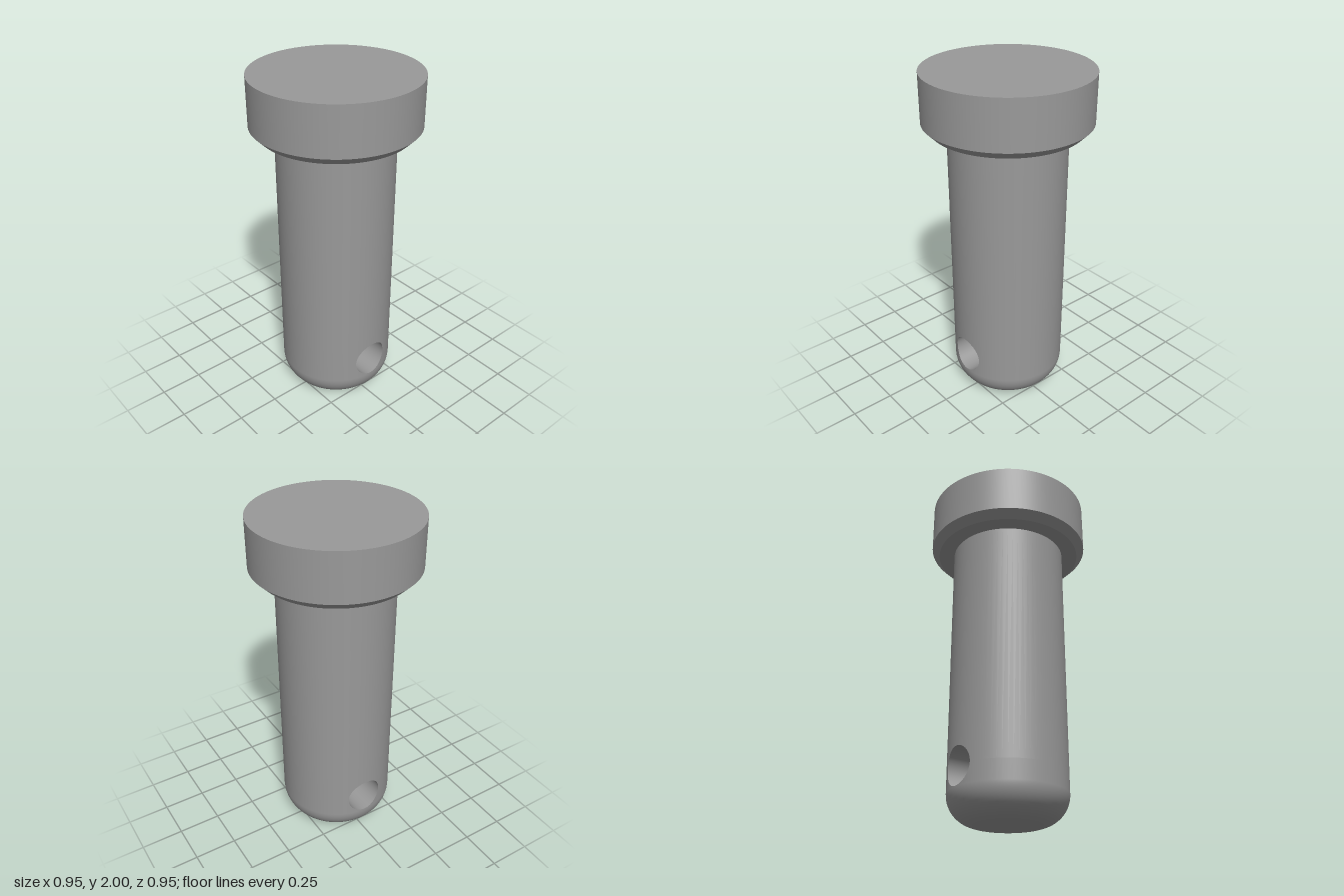
import * as THREE from 'three';

const R = 0.337;        // shaft radius
const FILLET = 0.165;   // rounded tip radius
const HOLE_R = 0.109;   // cross hole radius
const HOLE_Y = 0.277;   // cross hole height
const NECK_Y = 1.673;   // underside of the head
const HALF = 24;        // segments over half of the hole rim

// Smooth sheet: fn(i, j) returns [position, normal]
function sheet(nu, nv, fn) {
  const pos = [], nor = [], idx = [];
  for (let j = 0; j <= nv; j++) {
    for (let i = 0; i <= nu; i++) {
      const [p, n] = fn(i, j);
      pos.push(...p);
      nor.push(...n);
      if (i < nu && j < nv) {
        const a = j * (nu + 1) + i, d = a + nu + 1;
        idx.push(a, a + 1, d + 1, a, d + 1, d);
      }
    }
  }
  const g = new THREE.BufferGeometry();
  g.setAttribute('position', new THREE.Float32BufferAttribute(pos, 3));
  g.setAttribute('normal', new THREE.Float32BufferAttribute(nor, 3));
  g.setIndex(idx);
  return g;
}

// Angles round the shaft, lined up with the rim of the hole on both sides
function shaftAngles() {
  const edge = Math.asin(HOLE_R / R), gap = 28, list = [];
  for (const base of [0, Math.PI]) {
    for (let i = 0; i < HALF; i++) {
      list.push(base + Math.asin(-HOLE_R * Math.cos(Math.PI * i / HALF) / R));
    }
    for (let i = 0; i < gap; i++) {
      list.push(base + edge + (Math.PI - 2 * edge) * i / gap);
    }
  }
  list.push(list[0] + 2 * Math.PI);
  return list;
}

export function createModel() {
  const group = new THREE.Group();
  group.name = 'clevisPin';
  const steel = new THREE.MeshStandardMaterial({ color: 0x999999 });
  steel.name = 'steel grey';
  const add = (name, geometry, parent = group) => {
    const mesh = new THREE.Mesh(geometry, steel);
    mesh.name = name;
    parent.add(mesh);
  };

  const angles = shaftAngles();
  const n = angles.length - 1;
  const around = (a, r, y) => [r * Math.cos(a), y, -r * Math.sin(a)];
  const rim = a => Math.sqrt(Math.max(0, HOLE_R ** 2 - (R * Math.sin(a)) ** 2));

  // Shaft wall, below and above the hole
  const wall = (low, high) => sheet(n, 1, (i, j) => {
    const a = angles[i];
    return [around(a, R, j ? high(a) : low(a)), around(a, 1, 0)];
  });
  add('shaftLower', wall(() => FILLET, a => HOLE_Y - rim(a)));
  add('shaftUpper', wall(a => HOLE_Y + rim(a), () => NECK_Y));

  // Rounded tip and its flat end
  add('shaftTip', sheet(n, 14, (i, j) => {
    const a = angles[i], t = Math.PI / 2 * j / 14;
    return [
      around(a, R - FILLET + FILLET * Math.sin(t), FILLET * (1 - Math.cos(t))),
      around(a, Math.sin(t), -Math.cos(t)),
    ];
  }));
  add('shaftEnd', sheet(n, 1, (i, j) =>
    [around(angles[i], j * (R - FILLET), 0), [0, -1, 0]]));

  // Cross hole lining
  add('crossHole', sheet(2 * HALF, 1, (i, j) => {
    const t = Math.PI * i / HALF, c = Math.cos(t), s = Math.sin(t);
    const x = Math.sqrt(R ** 2 - (HOLE_R * c) ** 2);
    return [[j ? x : -x, HOLE_Y + HOLE_R * s, HOLE_R * c], [0, -s, -c]];
  }));

  // Head, one lathe per profile line to keep the edges sharp
  const head = new THREE.Group();
  head.name = 'head';
  group.add(head);
  const profile = [[R - 0.01, NECK_Y], [0.43, NECK_Y], [0.475, 1.718], [0.475, 2], [0, 2]]
    .map(p => new THREE.Vector2(...p));
  ['headUnderside', 'headChamfer', 'headSide', 'headTop'].forEach((name, k) =>
    add(name, new THREE.LatheGeometry([profile[k], profile[k + 1]], 96), head));

  return group;
}
